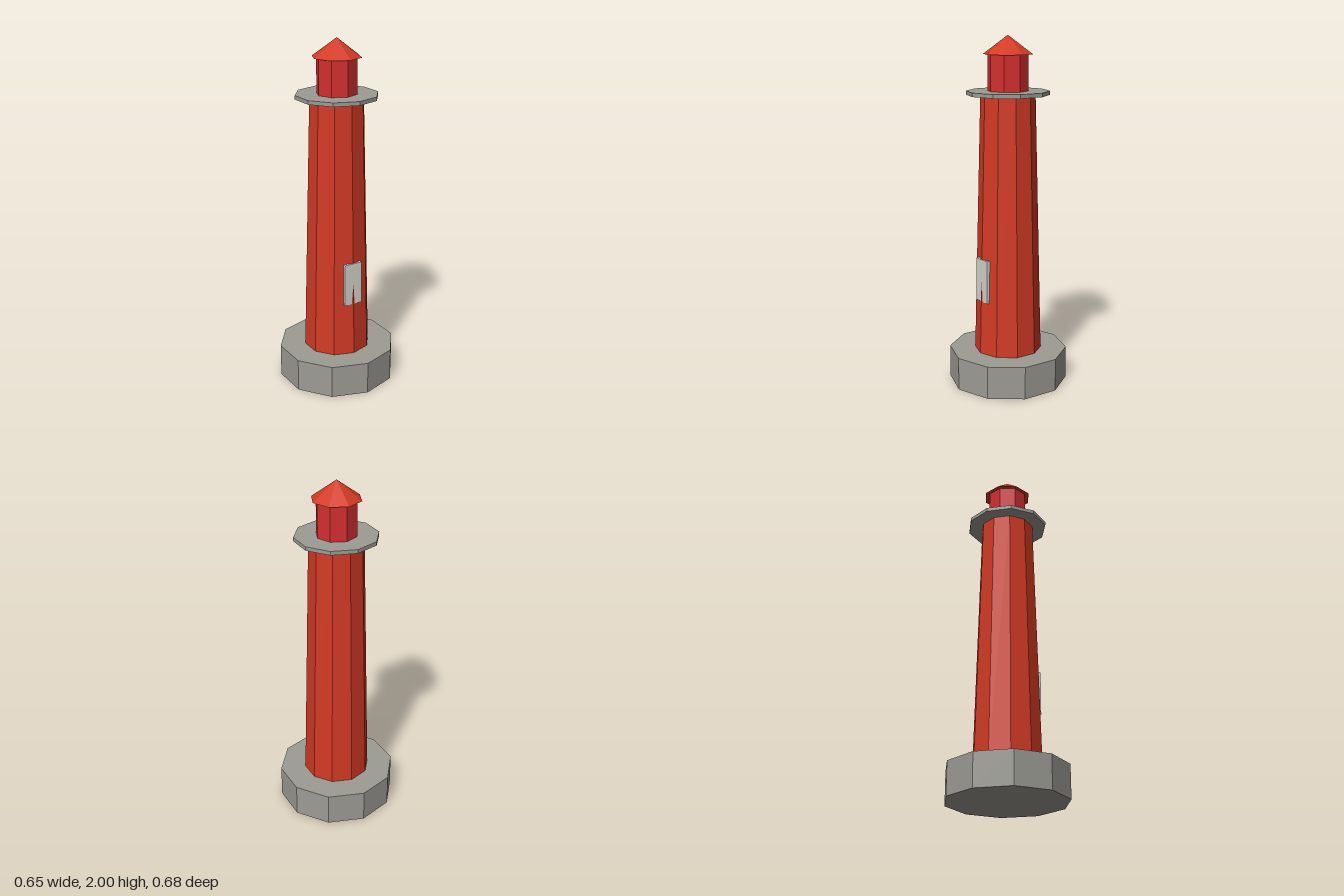
import * as THREE from 'three';

const flat = (name, color) => {
  const m = new THREE.MeshStandardMaterial({ color });
  m.name = name;
  m.flatShading = true;
  return m;
};

export function createModel() {
  const group = new THREE.Group();
  group.name = 'lighthouse';

  const stone = flat('stoneGrey', 0x9c9b94);
  const red = flat('brickRed', 0xd33a25);
  const crimson = flat('lanternCrimson', 0xd32f30);
  const pale = flat('doorPaleGrey', 0xd4d4cc);

  const add = (name, geometry, material) => {
    const mesh = new THREE.Mesh(geometry, material);
    mesh.name = name;
    group.add(mesh);
    return mesh;
  };

  // Faceted drum between two heights, with a corner facing +z
  const drum = (name, rTop, rBottom, y0, y1, sides, material) => {
    const g = new THREE.CylinderGeometry(rTop, rBottom, y1 - y0, sides);
    add(name, g, material).position.y = (y0 + y1) / 2;
  };

  // Ten-sided stonework and tapering tower
  drum('base', 0.342, 0.342, 0, 0.19, 10, stone);
  drum('tower', 0.154, 0.193, 0.19, 1.675, 10, red);
  drum('gallery', 0.234, 0.234, 1.673, 1.695, 10, stone);

  // Eight-sided lantern room and pointed roof
  drum('lanternRoom', 0.115, 0.115, 1.695, 1.896, 8, crimson);
  const roof = new THREE.ConeGeometry(0.14, 0.104, 8);
  add('roof', roof, red).position.y = 1.948;

  // Upright door, crossed at its foot by the tower's front ridge
  const door = new THREE.BoxGeometry(0.11, 0.25, 0.02);
  add('door', door, pale).position.set(0, 0.625, 0.1715);

  return group;
}
